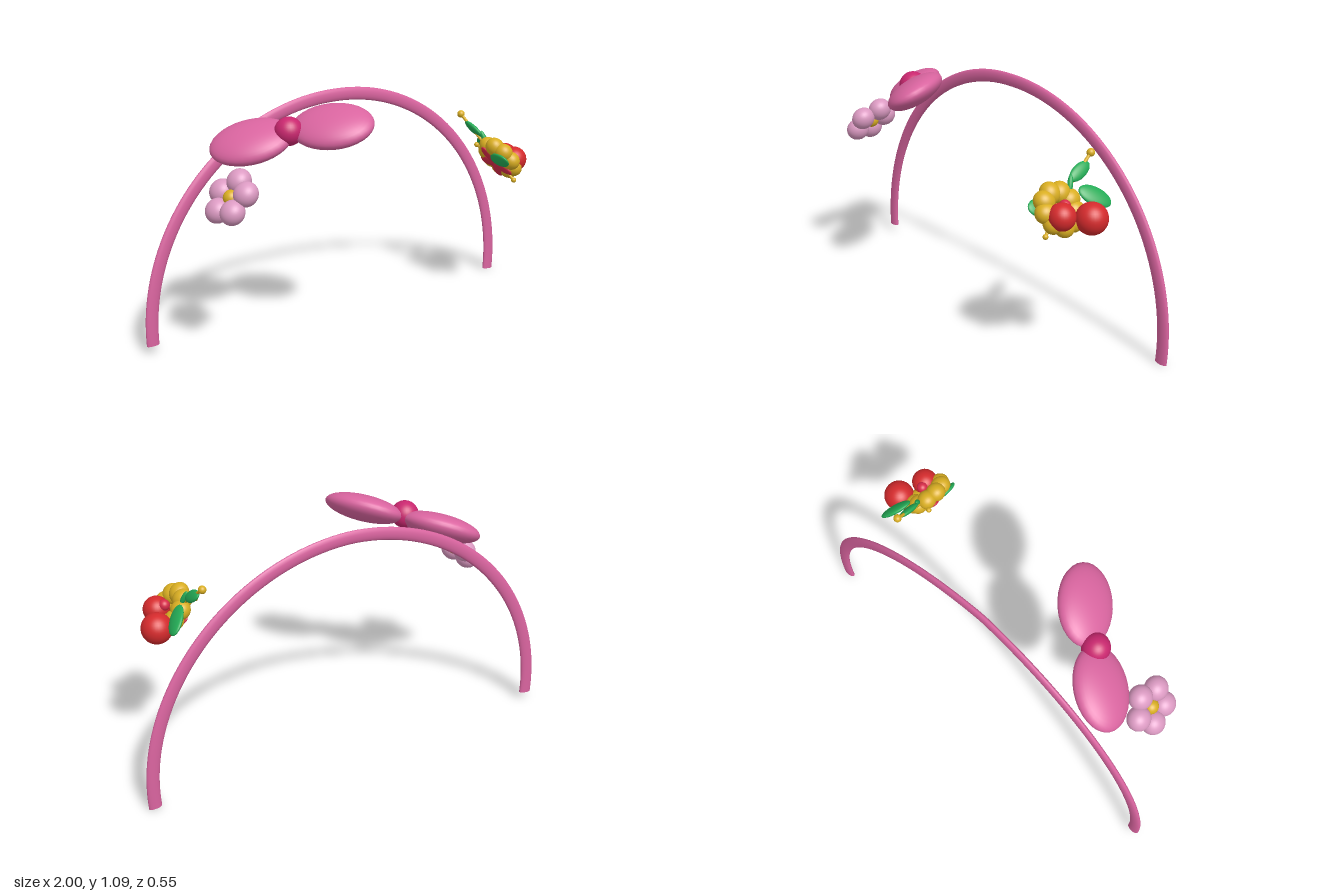
import * as THREE from 'three';
import { mergeGeometries } from 'three/addons/utils/BufferGeometryUtils.js';

const mat = (name, color) => {
  const m = new THREE.MeshStandardMaterial({ color });
  m.name = name;
  return m;
};
const V = (x, y, z) => new THREE.Vector3(x, y, z);

export function createModel() {
  const pink = mat('pink', 0xd9649f);
  const magenta = mat('magenta', 0xc9276f);
  const palePink = mat('pale pink', 0xdb9ac2);
  const yellow = mat('yellow', 0xd9ae22);
  const red = mat('red', 0xd42a2c);
  const crimson = mat('crimson', 0xd62a48);
  const green = mat('green', 0x24ab56);

  const model = new THREE.Group();
  model.name = 'headband';
  const ball = new THREE.SphereGeometry(1, 32, 20);

  // Ellipsoid with its long axis along u and its flat axis near n
  function ellipsoid(parent, name, material, center, u, n, size) {
    const mesh = new THREE.Mesh(ball, material);
    const x = u.clone().normalize();
    const z = x.clone().cross(n).normalize();
    const y = z.clone().cross(x);
    mesh.name = name;
    mesh.quaternion.setFromRotationMatrix(new THREE.Matrix4().makeBasis(x, y, z));
    mesh.scale.set(...size);
    mesh.position.copy(center);
    parent.add(mesh);
    return mesh;
  }
  const sphere = (parent, name, material, center, r) =>
    ellipsoid(parent, name, material, center, V(1, 0, 0), V(0, 1, 0), [r, r, r]);

  // Ring of ellipsoid petals around a normal, starting in direction start
  function petals(parent, name, material, center, n, start, count, radius, size) {
    const first = start.clone().projectOnPlane(n).normalize();
    for (let i = 0; i < count; i++) {
      const dir = first.clone().applyAxisAngle(n, (i / count) * Math.PI * 2);
      ellipsoid(parent, name, material, center.clone().addScaledVector(dir, radius), dir, n, size);
    }
  }
  const group = (name) => {
    const g = new THREE.Group();
    g.name = name;
    model.add(g);
    return g;
  };

  // Band: flattened arc with capped ends, leaning back towards its ends
  const R = 0.968, r = 0.03, a0 = -0.087, a1 = Math.PI + 0.053;
  const cap = (turn, angle) =>
    new THREE.CircleGeometry(r, 16).rotateX(turn).translate(R, 0, 0).rotateZ(angle);
  const bandGeo = mergeGeometries([
    new THREE.TorusGeometry(R, r, 16, 96, a1 - a0).rotateZ(a0),
    cap(Math.PI / 2, a0),
    cap(-Math.PI / 2, a1),
  ]);
  bandGeo.scale(1, 1, 0.46).translate(0, 0.09, -0.237);
  const p = bandGeo.attributes.position;
  for (let i = 0; i < p.count; i++) p.setZ(i, p.getZ(i) - 0.028 * Math.abs(p.getX(i)));
  const band = new THREE.Mesh(bandGeo, pink);
  band.name = 'band';
  model.add(band);

  // Bow: two flat lobes and a knot
  const bow = group('bow');
  const bowUp = V(-0.43, 0.86, 0.28);
  const lobe = [0.185, 0.06, 0.133];
  ellipsoid(bow, 'bowLobeLeft', pink, V(-0.255, 1.011, 0.114), V(0.64, 0.07, 0.765), bowUp, lobe);
  ellipsoid(bow, 'bowLobeRight', pink, V(-0.537, 0.94, -0.095), V(0.79, 0.207, 0.577), bowUp, lobe);
  sphere(bow, 'bowKnot', magenta, V(-0.41, 0.99, 0.01), 0.063);

  // Five-petal blossom
  const blossom = group('blossom');
  const bc = V(-0.715, 0.752, 0.042);
  const bn = V(-0.76, 0.64, 0.1).normalize();
  petals(blossom, 'blossomPetal', palePink, bc, bn, V(0.4, 0.34, 0.86), 5, 0.08, [0.056, 0.05, 0.056]);
  sphere(blossom, 'blossomCenter', yellow, bc, 0.036);

  // Yellow flower with a crimson back and centre
  const posy = group('berryFlower');
  const fc = V(0.7, 0.73, 0.11);
  const fn = V(0.8, 0.6, 0).normalize();
  petals(posy, 'flowerPetal', yellow, fc, fn, V(0, 0, 1), 9, 0.075, [0.048, 0.042, 0.045]);
  petals(posy, 'backPetal', crimson, fc.clone().addScaledVector(fn, -0.035), fn,
    V(0.6, -0.8, -0.3), 5, 0.05, [0.05, 0.012, 0.03]);
  sphere(posy, 'flowerCenter', crimson, fc.clone().addScaledVector(fn, 0.04), 0.025);

  // Berries
  sphere(posy, 'berry', red, V(0.802, 0.698, 0.024), 0.069);
  sphere(posy, 'berry', red, V(0.756, 0.722, 0.148), 0.059);

  // Leaves: centre, direction, semi-axes
  [
    [V(0.658, 0.846, -0.04), V(-0.1, 0.4, -0.9), [0.062, 0.014, 0.03]],
    [V(0.74, 0.757, -0.052), V(0.45, -0.45, -0.75), [0.078, 0.016, 0.044]],
    [V(0.65, 0.735, 0.165), V(-0.1, 0.15, 0.95), [0.065, 0.014, 0.042]],
    [V(0.672, 0.81, 0.025), V(-0.25, 0.8, -0.3), [0.04, 0.012, 0.012]],
  ].forEach(([c, u, size]) => ellipsoid(posy, 'leaf', green, c, u, fn, size));

  // Thin stamens with round tips
  const root = V(0.675, 0.735, 0.1);
  [
    [V(0.642, 0.907, -0.118), 0.018],
    [V(0.715, 0.635, 0.197), 0.012],
    [V(0.615, 0.79, 0.038), 0.012],
  ].forEach(([tip, size]) => {
    const curve = new THREE.LineCurve3(root, tip);
    const stem = new THREE.Mesh(new THREE.TubeGeometry(curve, 1, 0.007, 10), yellow);
    stem.name = 'stamenStem';
    posy.add(stem);
    sphere(posy, 'stamenTip', yellow, tip, size);
  });

  return model;
}
